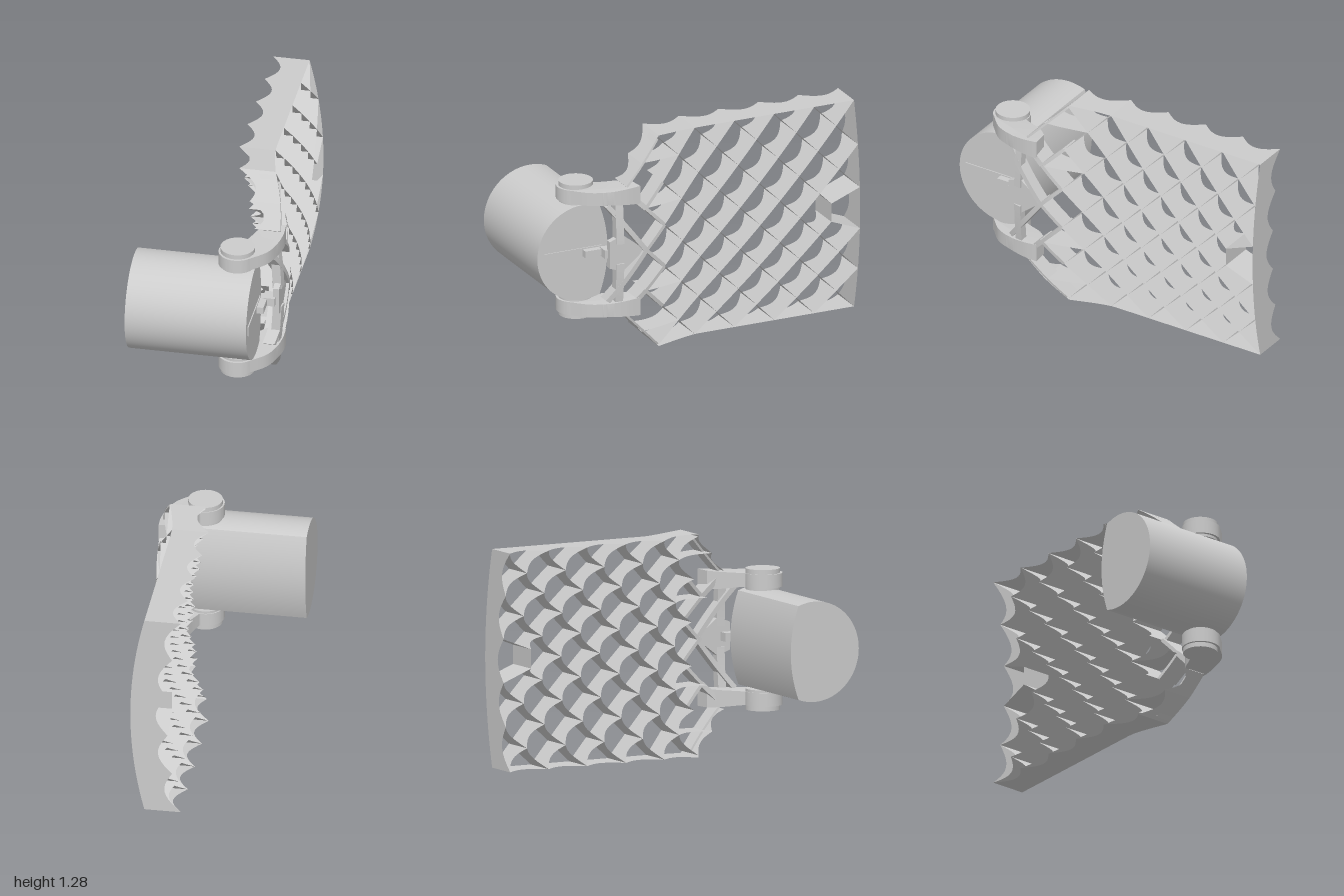
import * as THREE from 'three';
import { mergeGeometries, toCreasedNormals } from 'three/addons/utils/BufferGeometryUtils.js';

const MID = 0.64; // height of the horizontal symmetry plane
const grey = new THREE.MeshStandardMaterial({ color: 0xcccccc });
const thin = new THREE.MeshStandardMaterial({ color: 0xcccccc, side: THREE.DoubleSide });

// Outer face of the panel: arched in y, swelling towards the hinges
function outerX(z, y) {
  const swell = 0.08 * THREE.MathUtils.smoothstep(z, -0.05, 0.42);
  const fall = z > 0.45 ? 1.05 * (z - 0.45) ** 2 : 0;
  return 0.33 - 0.08 * ((y - MID) / 0.625) ** 2 + swell - fall;
}
const wallDepth = z => 0.21 - 0.06 * THREE.MathUtils.smoothstep(z, 0.25, 0.5);

// Thin wall between two [z, y] points with a scalloped inner edge
function wall(a, b, scallop = 0.065) {
  const n = 10, pos = [], idx = [];
  for (let i = 0; i <= n; i++) {
    const t = i / n;
    const z = a[0] + (b[0] - a[0]) * t, y = a[1] + (b[1] - a[1]) * t;
    const x = outerX(z, y);
    pos.push(x, y, z, x - wallDepth(z) + scallop * Math.sin(Math.PI * t), y, z);
    if (i < n) {
      const k = i * 2;
      idx.push(k, k + 1, k + 2, k + 1, k + 3, k + 2);
    }
  }
  const g = new THREE.BufferGeometry();
  g.setAttribute('position', new THREE.Float32BufferAttribute(pos, 3));
  g.setIndex(idx);
  g.computeVertexNormals();
  return g;
}

// Solid bar between two [z, y] points, following the outer face
function strut(a, b, width, depth) {
  const dz = b[0] - a[0], dy = b[1] - a[1], len = Math.hypot(dz, dy);
  const g = new THREE.BoxGeometry(depth, width, 1, 1, 1, 8);
  const p = g.attributes.position;
  for (let i = 0; i < p.count; i++) {
    const t = p.getZ(i) + 0.5, w = p.getY(i);
    const z = a[0] + dz * t - (dy / len) * w, y = a[1] + dy * t + (dz / len) * w;
    p.setXYZ(i, outerX(z, y) - depth / 2 + p.getX(i), y, z);
  }
  g.computeVertexNormals();
  return g;
}

const mirror = ([z, y], s) => [z, MID + s * (y - MID)];

function box(x0, x1, y0, y1, z0, z1) {
  return new THREE.BoxGeometry(x1 - x0, y1 - y0, z1 - z0)
    .translate((x0 + x1) / 2, (y0 + y1) / 2, (z0 + z1) / 2);
}

// Extrude a (z, y) shape along -x, starting at x
function extrudeX(shape, x, depth) {
  const g = new THREE.ExtrudeGeometry(shape, { depth, bevelEnabled: false, curveSegments: 40 });
  return toCreasedNormals(g.rotateY(-Math.PI / 2).translate(x, 0, 0), 0.5);
}

export function createModel() {
  const model = new THREE.Group();
  const add = (name, geometry, material = grey) => {
    const m = new THREE.Mesh(geometry, material);
    m.name = name;
    model.add(m);
    return m;
  };

  // Diagonal lattice walls
  const node = (i, j) => [-1 + 0.125 * i, 0.015 + 0.125 * j];
  const isNotch = (i, j) => i === 1 && j === 5;
  const lattice = [];
  for (let i = 0; i < 10; i++) for (let j = i % 2; j <= 10; j += 2) for (const d of [-1, 1]) {
    const k = j + d;
    if (k < 0 || k > 10 || isNotch(i + 1, k)) continue;
    if (isNotch(i, j)) lattice.push(wall([-0.82, MID + d * 0.055], node(2, k)));
    else lattice.push(wall(node(i, j), node(i + 1, k)));
  }
  add('latticeWalls', mergeGeometries(lattice), thin);

  // Top and bottom walls, back wall, front edges and the small back notch
  const rim = [], notch = [wall([-0.82, MID - 0.055], [-0.82, MID + 0.055], 0)];
  for (const s of [1, -1]) {
    const w = (a, b) => rim.push(wall(mirror(a, s), mirror(b, s)));
    for (let i = 0; i < 5; i++)
      w([-1 + i * 0.25, 1.265], [-0.75 + i * 0.25, i === 4 ? 1.278 : 1.265]);
    w([0.25, 1.278], [0.385, 1.15]);
    w([0.385, 1.15], [0.49, 1.035]);
    w([0.125, 1.14], [0.385, 1.15]);
    w([0.125, 0.89], [0.375, 0.89]);
    notch.push(wall(mirror([-0.82, 0.695], s), mirror([-1, 0.765], s), 0));
  }
  for (let j = 0; j < 5; j++) rim.push(wall([-1, 0.015 + j * 0.25], [-1, 0.265 + j * 0.25]));
  add('rimWalls', mergeGeometries(rim), thin);
  add('backNotch', mergeGeometries(notch), thin);

  // Bracing struts between the panel and the hinge arms
  const struts = [];
  for (const s of [1, -1]) {
    const bar = (a, b, w = 0.028, d = 0.07) => struts.push(strut(mirror(a, s), mirror(b, s), w, d));
    bar([0.25, 1.015], [0.375, 0.89], 0.02, 0.12);
    bar([0.375, 0.89], [0.49, 1.0], 0.03, 0.12);
    bar([0.375, 0.89], [0.25, 0.765], 0.02, 0.12);
    bar([0.6, 0.93], [0.38, 0.645]);
    bar([0.385, 0.65], [0.25, 0.515], 0.02, 0.1);
    bar([0.26, 1.262], [0.485, 1.03], 0.012, 0.1);
    bar([0.537, 0.96], [0.537, 0.7], 0.045, 0.05);
  }
  add('braceStruts', mergeGeometries(struts));

  // Hinge arms with round hubs, and their pins
  const armShape = new THREE.Shape();
  armShape.absarc(0.175, -0.715, 0.108, 1.4, 5.6, false);
  armShape.splineThru([[0.34, -0.7], [0.38, -0.6], [0.397, -0.5], [0.395, -0.41]]
    .map(p => new THREE.Vector2(...p)));
  armShape.lineTo(0.3, -0.42);
  armShape.splineThru([[0.25, -0.48], [0.22, -0.55], [0.194, -0.609]]
    .map(p => new THREE.Vector2(...p)));
  for (const s of [1, -1]) {
    const side = s > 0 ? 'top' : 'bottom', y = MID + s * 0.338;
    const g = new THREE.ExtrudeGeometry(armShape, { depth: 0.078, bevelEnabled: false, curveSegments: 24 })
      .translate(0, 0, -0.039).rotateX(-Math.PI / 2);
    const p = g.attributes.position;
    for (let i = 0; i < p.count; i++) {
      const z = p.getZ(i);
      if (z < 0.6) p.setY(i, p.getY(i) * (1 + (0.6 - z) * 2)); // flare at the root
    }
    add(side + 'HingeArm', toCreasedNormals(g.translate(0, y, 0), 0.6));
    add(side + 'HingePin', new THREE.CylinderGeometry(0.098, 0.098, 0.12, 40))
      .position.set(0.175, MID + s * 0.344, 0.71);
  }

  // Drum: round at the front, shallow curve at the back
  const drum = new THREE.Shape();
  const R = 0.287, cz = 0.713, a0 = Math.acos(-0.103 / R);
  drum.absarc(cz, MID, R, -a0, a0, false);
  drum.quadraticCurveTo(0.51, MID, 0.61, MID - R * Math.sin(a0));
  add('drum', extrudeX(drum, 0.28, 0.7));

  // Latch: plate on the panel, hook and strip across the drum's end
  const plate = new THREE.Shape([[0.6, 0.56], [0.6, 0.72], [0.52, 0.75], [0.38, 0.64], [0.52, 0.53]]
    .map(p => new THREE.Vector2(...p)));
  add('latchPlate', extrudeX(plate, 0.392, 0.035));
  add('latchStrip', box(0.265, 0.286, 0.612, 0.668, 0.6, 0.96));
  add('latchHook', mergeGeometries([
    box(0.28, 0.325, 0.62, 0.66, 0.6, 0.72),
    box(0.3, 0.37, 0.615, 0.665, 0.54, 0.62),
    box(0.286, 0.31, 0.625, 0.655, 0.68, 0.71),
  ]));

  return model;
}
